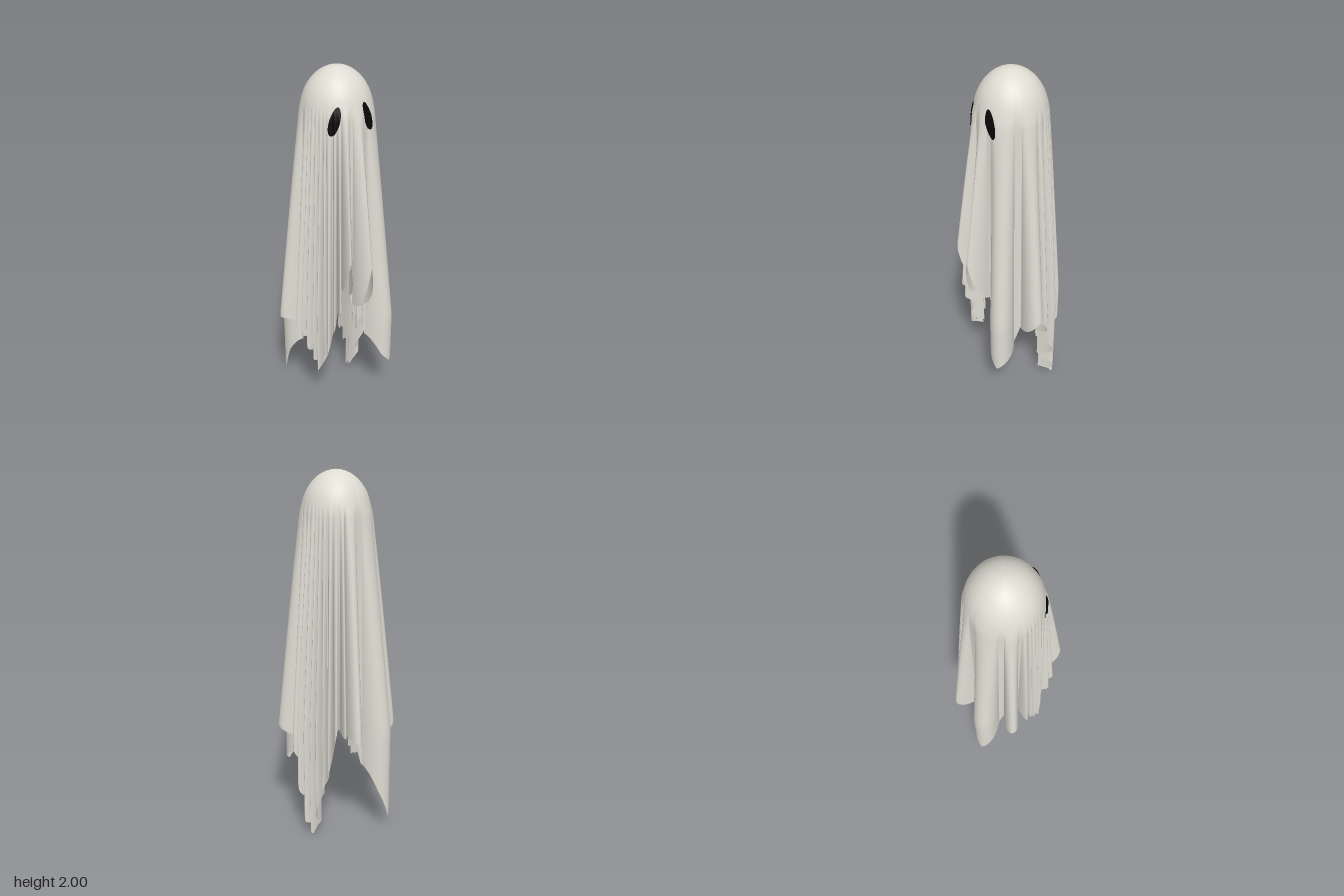
import * as THREE from 'three';

// Cloth folds around the body: [centre angle, half width, tip radius]; degrees run from +x towards +z
const FOLDS = [
  [5, 13, 0.333], [46, 17, 0.335], [81, 10, 0.325], [102, 6, 0.315], [111.5, 3, 0.29],
  [118, 3, 0.275], [127, 4, 0.24], [134, 2.5, 0.22], [140, 3, 0.26], [147, 3, 0.255],
  [154, 3.5, 0.27], [161, 3, 0.275], [169, 4.5, 0.285], [189, 10, 0.338], [225, 18, 0.337],
  [264, 9, 0.325], [277, 3.5, 0.293], [287, 4, 0.225], [295, 4, 0.29], [305, 3, 0.24],
  [312, 3, 0.26], [318.5, 3, 0.27], [326, 4, 0.28], [334, 3.5, 0.29], [346, 5, 0.28],
];

// Hem height by angle: four hanging corners with raised edges between them
const HEM = [
  [-13, 0.5], [0, 0.61], [6, 0.61], [18, 0.5], [27, 0.4], [48, 0.29], [56, 0.35], [63, 0.48], [71, 0.7],
  [81, 0.99], [88, 0.75], [94, 0.7], [102, 1.04], [110, 0.75], [118, 0.6], [128, 0.4],
  [140, 0.3], [150, 0.4], [165, 0.57], [189, 0.59], [200, 0.5], [212, 0.25], [225, 0.07],
  [236, 0.25], [248, 0.5], [262, 0.57], [285, 0.62], [297, 0.35], [308, 0.25], [317, 0],
  [326, 0.08], [335, 0.3], [347, 0.5], [360, 0.61],
];

const HEAD = { radius: 0.19, height: 0.24, y: 1.76 };
const FOLD_START = 1.82;

function hemAt(deg) {
  const i = HEM.findIndex((h, k) => k > 0 && deg <= h[0]);
  const [a, ya] = HEM[i - 1], [b, yb] = HEM[i];
  return THREE.MathUtils.lerp(ya, yb, (deg - a) / (b - a));
}

// Radius of the fully spread cloth at an angle
function spreadAt(deg) {
  for (const [centre, half, tip] of FOLDS) {
    let d = deg - centre;
    if (d > 180) d -= 360;
    d /= half;
    if (Math.abs(d) <= 1.0001) {
      const valley = half < 6 ? 0.178 : 0.2;
      return valley + (tip - valley) * Math.pow(Math.max(0, 1 - d * d), 0.6);
    }
  }
  return 0.2;
}

// Point on the sheet: a round head that spreads into folds further down
function sheetPoint(deg, y, offset = 0) {
  const up = Math.max(0, (y - HEAD.y) / HEAD.height);
  const head = HEAD.radius * Math.sqrt(Math.max(0, 1 - up * up));
  const full = Math.max(hemAt(deg), 0.6);
  const t = THREE.MathUtils.clamp((FOLD_START - y) / (FOLD_START - full), 0, 1);
  const r = THREE.MathUtils.lerp(head, spreadAt(deg), Math.pow(t, 0.92)) + offset;
  const a = THREE.MathUtils.degToRad(deg);
  return [r * Math.cos(a), y, r * Math.sin(a)];
}

function gridGeometry(points, columns, rows) {
  const index = [];
  for (let j = 0; j < columns; j++) {
    const n = (j + 1) % columns;
    for (let i = 0; i < rows; i++) {
      const a = j * (rows + 1) + i, b = n * (rows + 1) + i;
      if (i > 0) index.push(a, b, a + 1);
      index.push(b, b + 1, a + 1);
    }
  }
  const geometry = new THREE.BufferGeometry();
  geometry.setAttribute('position', new THREE.Float32BufferAttribute(points.flat(), 3));
  geometry.setIndex(index);
  geometry.computeVertexNormals();
  return geometry;
}

function sheetGeometry() {
  // Columns crowd towards the steep sides of each fold
  const angles = [];
  for (const [centre, half] of FOLDS) {
    const steps = half < 6 ? 12 : 24;
    for (let k = 0; k <= steps; k++) angles.push(centre - half * Math.cos((Math.PI * k) / steps));
  }
  const domeRows = 12, skirtRows = 28, rows = domeRows + skirtRows;
  const points = [];
  for (const deg of angles) {
    const hem = hemAt(deg);
    for (let i = 0; i <= rows; i++) {
      const y = i <= domeRows
        ? HEAD.y + HEAD.height * Math.cos((Math.PI / 2) * (i / domeRows))
        : THREE.MathUtils.lerp(HEAD.y, hem, (i - domeRows) / skirtRows);
      points.push(sheetPoint(deg, y));
    }
  }
  return gridGeometry(points, angles.length, rows);
}

// Oval eye patch that follows the cloth, leaning inwards at the top
function eyeGeometry(cx, cy, lean) {
  const columns = 40, rows = 6, points = [];
  for (let j = 0; j < columns; j++) {
    const a = (-j / columns) * Math.PI * 2;
    for (let i = 0; i <= rows; i++) {
      const v = 0.071 * Math.sin(a) * (i / rows);
      const x = cx + 0.023 * Math.cos(a) * (i / rows) + lean * v;
      const deg = THREE.MathUtils.radToDeg(Math.acos(x / HEAD.radius));
      points.push(sheetPoint(deg, cy + v, 0.005));
    }
  }
  return gridGeometry(points, columns, rows);
}

export function createModel() {
  const cloth = new THREE.MeshStandardMaterial({ color: 0xdedcd2, side: THREE.DoubleSide });
  cloth.name = 'off-white cloth';
  const black = new THREE.MeshStandardMaterial({ color: 0x080808, side: THREE.DoubleSide });
  black.name = 'black';

  const ghost = new THREE.Group();
  ghost.name = 'ghost';
  const add = (name, geometry, material) => {
    const mesh = new THREE.Mesh(geometry, material);
    mesh.name = name;
    ghost.add(mesh);
  };
  add('sheet', sheetGeometry(), cloth);
  add('rightEye', eyeGeometry(-0.091, 1.765, 0.2), black);
  add('leftEye', eyeGeometry(0.081, 1.775, -0.2), black);
  return ghost;
}
